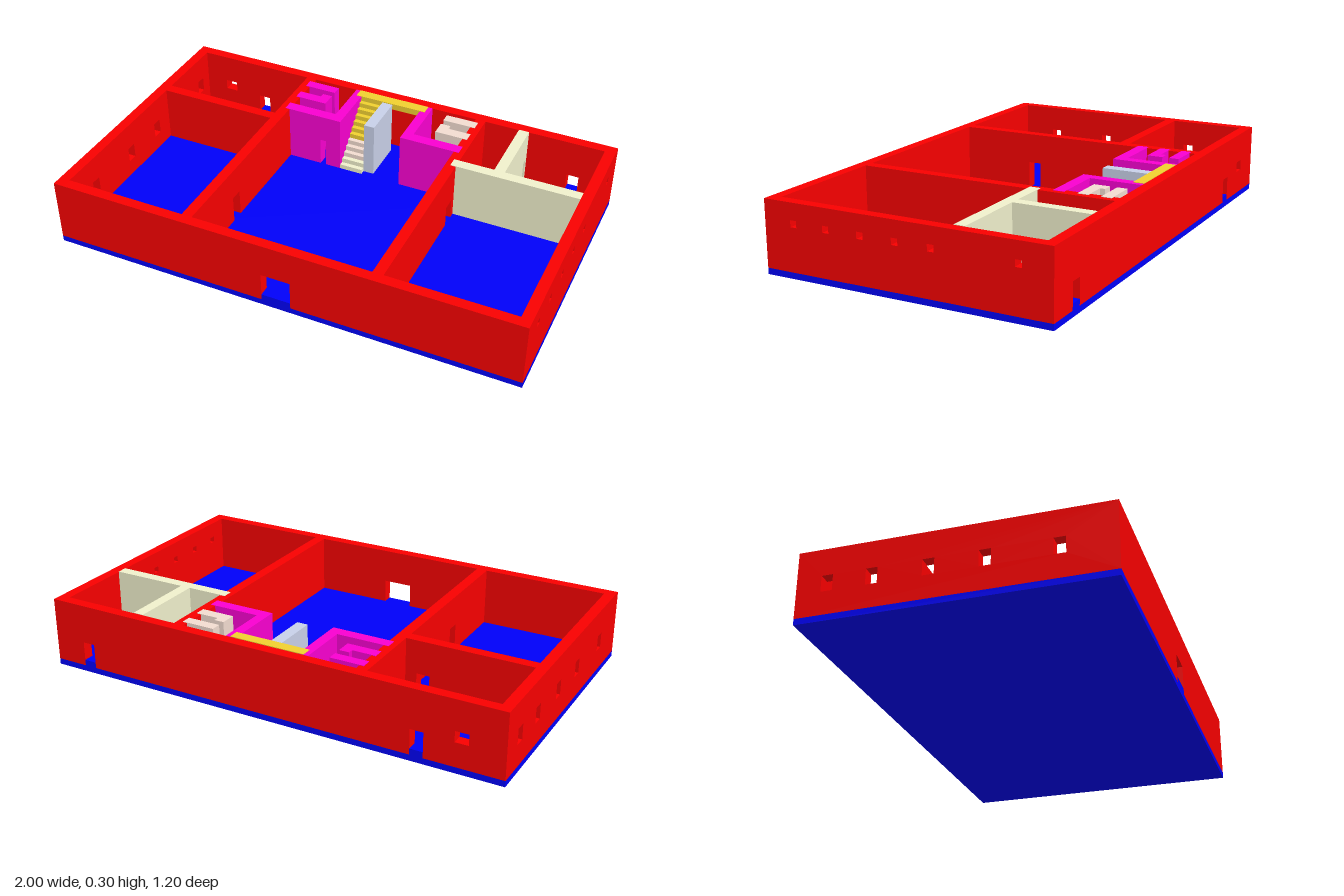
import * as THREE from 'three';

const RED = 0xf80000, BLUE = 0x0000f8, MAGENTA = 0xf800d0, YELLOW = 0xf0d030;
const CREAM = 0xf0f0cc, PALE = 0xf2dcd0, GREY = 0xc8d0e8;
const BASE = 0.025, FLOOR = 0.05, TOP = 0.295;

export function createModel() {
  const model = new THREE.Group();
  const materials = {};
  const add = (name, geometry, color) => {
    materials[color] ??= new THREE.MeshStandardMaterial({ color, flatShading: true });
    const mesh = new THREE.Mesh(geometry, materials[color]);
    mesh.name = name;
    model.add(mesh);
    return mesh;
  };

  // Box given by its limits on each axis
  const box = (name, color, [x0, x1], [y0, y1], [z0, z1]) =>
    add(name, new THREE.BoxGeometry(x1 - x0, y1 - y0, z1 - z0), color)
      .position.set((x0 + x1) / 2, (y0 + y1) / 2, (z0 + z1) / 2);

  // Wall along 'x' or 'z' with openings [centre, width, bottom, top];
  // an opening that reaches the wall's foot becomes a doorway
  const wall = (name, color, axis, [u0, u1], [d0, d1], openings = [], y0 = BASE, y1 = TOP) => {
    const shape = new THREE.Shape();
    shape.moveTo(u0, y0);
    const doors = openings.filter(o => o[2] <= y0).sort((a, b) => a[0] - b[0]);
    for (const [c, w, , t] of doors) {
      shape.lineTo(c - w / 2, y0);
      shape.lineTo(c - w / 2, t);
      shape.lineTo(c + w / 2, t);
      shape.lineTo(c + w / 2, y0);
    }
    shape.lineTo(u1, y0);
    shape.lineTo(u1, y1);
    shape.lineTo(u0, y1);
    shape.closePath();
    for (const [c, w, b, t] of openings.filter(o => o[2] > y0)) {
      const hole = new THREE.Path();
      hole.moveTo(c - w / 2, b);
      hole.lineTo(c - w / 2, t);
      hole.lineTo(c + w / 2, t);
      hole.lineTo(c + w / 2, b);
      hole.closePath();
      shape.holes.push(hole);
    }
    const mesh = add(name, new THREE.ExtrudeGeometry(shape, { depth: d1 - d0, bevelEnabled: false }), color);
    if (axis === 'x') mesh.position.z = d0;
    else { mesh.rotation.y = -Math.PI / 2; mesh.position.x = d1; }
  };

  // Foundation, raised floor and door sills
  box('foundation', BLUE, [-1, 1], [0, BASE], [-0.6, 0.6]);
  box('floor', BLUE, [-0.955, 0.955], [BASE, FLOOR], [-0.555, 0.555]);
  box('frontDoorSill', BLUE, [-0.065, 0.06], [BASE, FLOOR], [0.55, 0.6]);
  const backDoors = [-0.655, 0.835];
  for (const x of backDoors) box('backDoorSill', BLUE, [x - 0.027, x + 0.027], [BASE, FLOOR], [-0.6, -0.55]);

  // Outer walls
  wall('frontWall', RED, 'x', [-0.955, 0.955], [0.555, 0.6], [[-0.0025, 0.125, BASE, 0.15]]);
  wall('backWall', RED, 'x', [-0.955, 0.955], [-0.6, -0.555],
    [...backDoors.map(x => [x, 0.054, BASE, 0.13]), [-0.83, 0.055, 0.125, 0.17]]);
  wall('leftWall', RED, 'z', [-0.6, 0.6], [0.955, 1],
    [0.47, 0.325, 0.175, 0.027, -0.122, -0.467].map(z => [z, 0.027, 0.2, 0.227]));
  wall('rightWall', RED, 'z', [-0.6, 0.6], [-1, -0.955],
    [-0.48, -0.306, -0.09, 0.12, 0.39].map(z => [z, 0.045, 0.12, 0.185]));

  // Inner walls
  wall('rightInnerWall', RED, 'z', [-0.555, 0.555], [-0.43, -0.385], [[0.21, 0.055, FLOOR, 0.165]], FLOOR);
  wall('leftInnerWall', RED, 'z', [-0.555, 0.555], [0.383, 0.428], [[-0.135, 0.06, FLOOR, 0.14]], FLOOR);
  wall('rightCrossWall', RED, 'x', [-0.955, -0.43], [-0.235, -0.19], [[-0.505, 0.055, FLOOR, 0.155]], FLOOR);
  wall('leftCrossWall', CREAM, 'x', [0.405, 0.955], [-0.235, -0.19], [], FLOOR, 0.297);
  wall('leftRoomDivider', CREAM, 'z', [-0.555, -0.235], [0.58, 0.625], [[-0.53, 0.03, FLOOR, 0.16]], FLOOR, 0.297);

  // Washrooms either side of the stairs
  for (const s of [-1, 1]) {
    const span = (a, b) => (s > 0 ? [a, b] : [-b, -a]);
    const color = s > 0 ? PALE : MAGENTA;
    wall('washroomFrontWall', MAGENTA, 'x', span(0.14, 0.405), [-0.335, -0.287],
      s < 0 ? [[-0.222, 0.027, FLOOR, 0.175]] : [], FLOOR, 0.296);
    wall('washroomSideWall', MAGENTA, 'z', [-0.555, -0.335], span(0.14, 0.183), [], FLOOR, 0.296);
    box('stallWall', color, span(0.26, 0.403), [FLOOR, 0.297], [-0.53, -0.487]);
    box('stallWall', color, span(0.26, 0.403), [FLOOR, 0.297], [-0.435, -0.39]);
    box('stallDoorPost', color, span(0.26, 0.303), [FLOOR, 0.297], [-0.457, -0.435]);
  }

  // Staircase, landing and side wall
  const steps = 11, z0 = -0.287, run = (0.51 - 0.287) / steps, rise = (TOP - FLOOR) / (steps + 1);
  for (let i = 0; i < steps; i++) {
    const color = i < 2 ? CREAM : i < 5 ? PALE : YELLOW;
    box('stairStep', color, [-0.14, -0.037], [FLOOR, FLOOR + rise * (i + 1)], [z0 - run * (i + 1), z0 - run * i]);
  }
  box('stairLanding', YELLOW, [-0.163, 0.163], [0.27, 0.298], [-0.555, -0.51]);
  box('stairSideWall', GREY, [-0.037, 0.01], [FLOOR, 0.294], [-0.51, -0.31]);

  return model;
}
